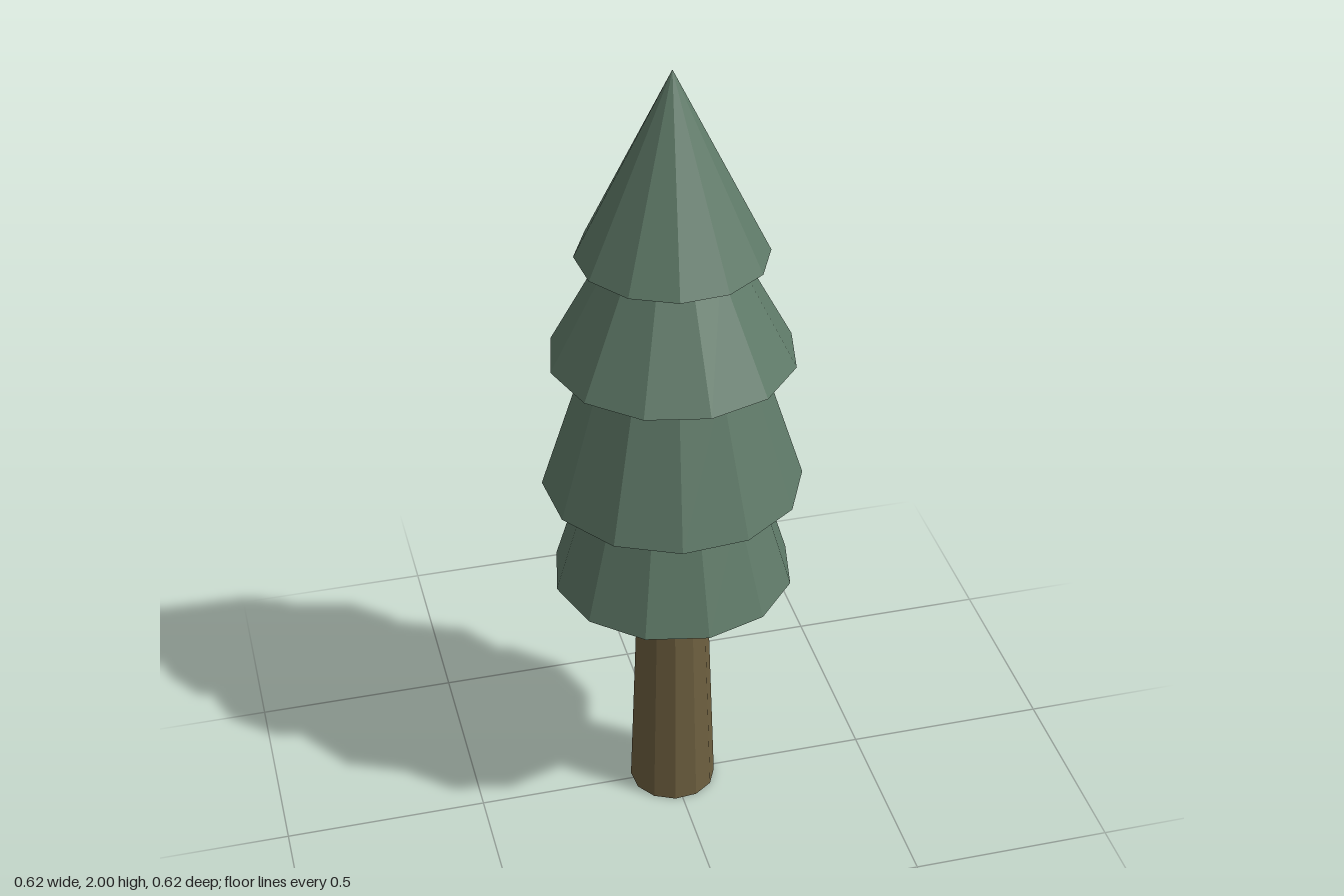
import * as THREE from 'three';

const SIDES = 12;

export function createModel() {
  const tree = new THREE.Group();
  tree.name = 'pineTree';

  const leaves = new THREE.MeshStandardMaterial({ color: 0x5f7a68, flatShading: true });
  const bark = new THREE.MeshStandardMaterial({ color: 0x6e6040, flatShading: true });

  // Faceted tapered section from y0 to y1, turned by a number of degrees
  function section(name, material, y0, y1, r0, r1, turn) {
    const geometry = r1 > 0
      ? new THREE.CylinderGeometry(r1, r0, y1 - y0, SIDES)
      : new THREE.ConeGeometry(r0, y1 - y0, SIDES);
    const mesh = new THREE.Mesh(geometry, material);
    mesh.name = name;
    mesh.position.y = (y0 + y1) / 2;
    mesh.rotation.y = THREE.MathUtils.degToRad(turn);
    tree.add(mesh);
  }

  // Trunk, running just into the foliage
  section('trunk', bark, 0, 0.67, 0.108, 0.084, 20);

  // Foliage tiers, bottom to top, each tucked under the next
  section('bottomTier', leaves, 0.66, 0.94, 0.294, 0.209, 3);
  section('lowerTier', leaves, 0.93, 1.29, 0.313, 0.198, 20);
  section('upperTier', leaves, 1.28, 1.555, 0.293, 0.147, 3);
  section('topCone', leaves, 1.545, 2, 0.225, 0, 20);

  return tree;
}
